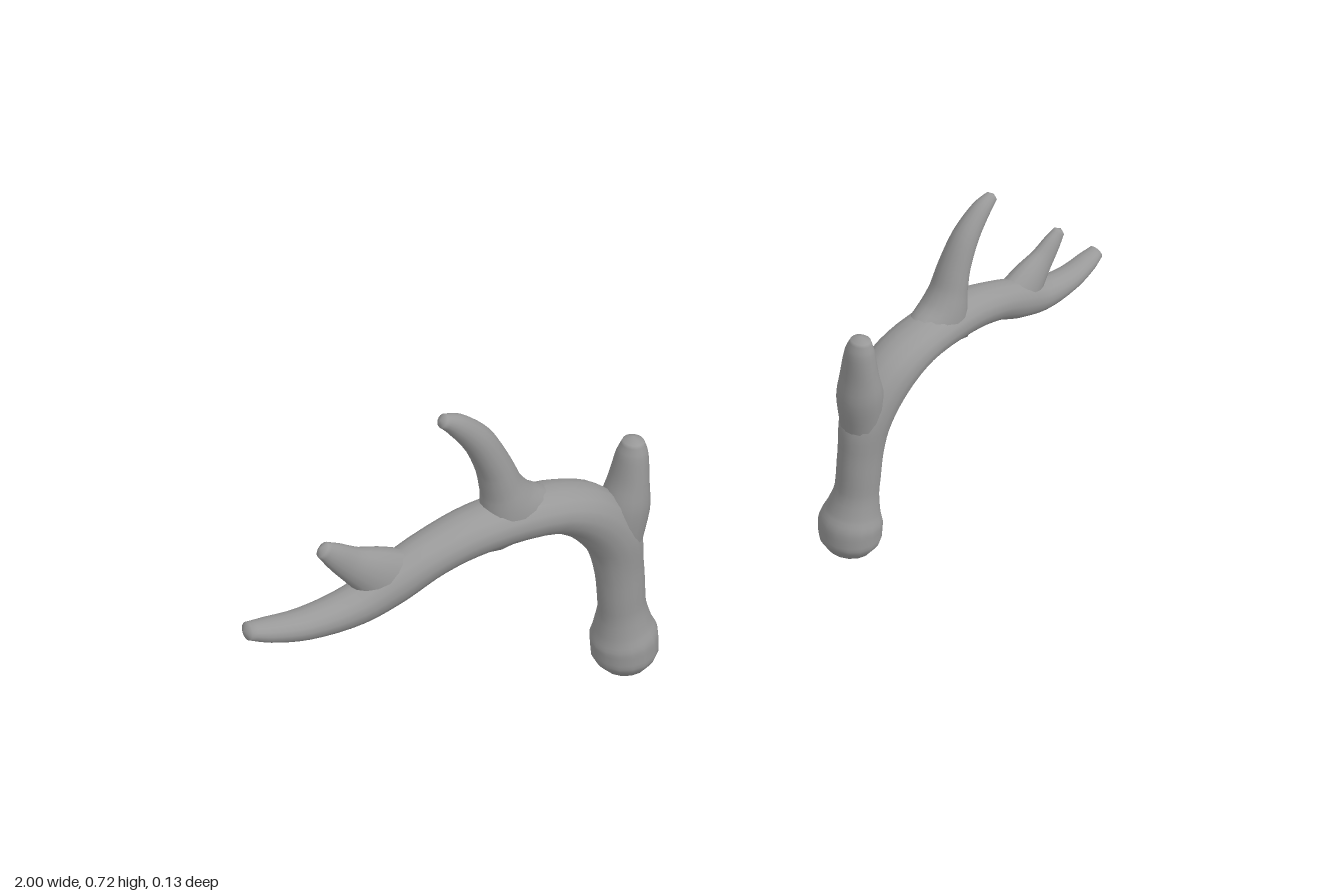
import * as THREE from 'three';

const material = new THREE.MeshStandardMaterial({ color: 0x999999 });
const SIDES = 16;

// Lofts an oval branch through keys [x, y, z, in-plane radius, depth radius].
// side is +1 for the left antler, -1 for its mirror image.
function branch(name, keys, side, stepsPerKey = 4) {
  const path = new THREE.CatmullRomCurve3(keys.map(k => new THREE.Vector3(side * k[0], k[1], k[2])));
  const radii = new THREE.CatmullRomCurve3(keys.map(k => new THREE.Vector3(k[3], k[4], 0)));
  const rings = (keys.length - 1) * stepsPerKey;
  const positions = [], index = [];

  for (let i = 0; i <= rings; i++) {
    const t = i / rings;
    const p = path.getPoint(t), r = radii.getPoint(t), d = path.getTangent(t);
    const len = Math.hypot(d.x, d.y);
    const nx = -d.y / len, ny = d.x / len;
    for (let j = 0; j < SIDES; j++) {
      const a = (j / SIDES) * Math.PI * 2;
      const u = Math.cos(a) * r.x, w = Math.sin(a) * r.y;
      positions.push(p.x + nx * u, p.y + ny * u, p.z + w);
    }
  }
  for (let i = 0; i < rings; i++) {
    for (let j = 0; j < SIDES; j++) {
      const k = (j + 1) % SIDES;
      const a = i * SIDES + j, b = i * SIDES + k;
      index.push(a, b, a + SIDES, b, b + SIDES, a + SIDES);
    }
  }
  // blunt pole at each end
  const start = path.getPoint(0), end = path.getPoint(1);
  end.addScaledVector(path.getTangent(1), keys[keys.length - 1][3] * 0.45);
  const poles = (rings + 1) * SIDES;
  positions.push(start.x, start.y, start.z, end.x, end.y, end.z);
  for (let j = 0; j < SIDES; j++) {
    const k = (j + 1) % SIDES, last = rings * SIDES;
    index.push(poles, k, j, poles + 1, last + j, last + k);
  }

  const geometry = new THREE.BufferGeometry();
  geometry.setAttribute('position', new THREE.Float32BufferAttribute(positions, 3));
  geometry.setIndex(index);
  geometry.computeVertexNormals();
  const mesh = new THREE.Mesh(geometry, material);
  mesh.name = name;
  return mesh;
}

// Bulbous base, upright stem and outward sweeping beam
const MAIN_BEAM = [
  [0.285, 0.0, 0.0, 0.02, 0.02],
  [0.285, 0.016, 0.0, 0.046, 0.048],
  [0.285, 0.045, 0.0, 0.064, 0.066],
  [0.285, 0.08, 0.0, 0.065, 0.067],
  [0.288, 0.115, 0.002, 0.055, 0.056],
  [0.292, 0.17, 0.008, 0.046, 0.044],
  [0.295, 0.25, 0.01, 0.047, 0.044],
  [0.307, 0.33, 0.01, 0.053, 0.051],
  [0.357, 0.405, 0.009, 0.053, 0.056],
  [0.43, 0.448, 0.006, 0.045, 0.056],
  [0.57, 0.463, -0.004, 0.042, 0.05],
  [0.66, 0.452, -0.009, 0.04, 0.045],
  [0.74, 0.428, -0.013, 0.042, 0.041],
  [0.81, 0.411, -0.016, 0.035, 0.037],
  [0.9, 0.413, -0.022, 0.026, 0.031],
  [0.96, 0.428, -0.028, 0.02, 0.025],
  [0.992, 0.44, -0.031, 0.014, 0.018],
];

// Each tine starts inside the beam and flares where it leaves it
const TINES = {
  browTine: [
    [0.297, 0.24, 0.01, 0.03, 0.03],
    [0.293, 0.31, 0.011, 0.04, 0.041],
    [0.282, 0.39, 0.016, 0.045, 0.048],
    [0.273, 0.45, 0.021, 0.034, 0.041],
    [0.267, 0.505, 0.026, 0.027, 0.031],
    [0.266, 0.53, 0.029, 0.018, 0.021],
  ],
  middleTine: [
    [0.495, 0.45, 0.001, 0.085, 0.046],
    [0.512, 0.497, 0.0, 0.052, 0.045],
    [0.522, 0.535, 0.0, 0.037, 0.039],
    [0.533, 0.58, 0.0, 0.031, 0.034],
    [0.558, 0.64, 0.001, 0.027, 0.027],
    [0.595, 0.687, 0.002, 0.02, 0.019],
    [0.621, 0.707, 0.003, 0.012, 0.012],
  ],
  outerTine: [
    [0.735, 0.425, -0.014, 0.062, 0.036],
    [0.767, 0.46, -0.015, 0.046, 0.031],
    [0.805, 0.495, -0.016, 0.03, 0.021],
    [0.831, 0.524, -0.016, 0.022, 0.016],
    [0.85, 0.545, -0.016, 0.014, 0.011],
  ],
};

export function createModel() {
  const model = new THREE.Group();
  model.name = 'antlers';
  for (const side of [1, -1]) {
    const antler = new THREE.Group();
    antler.name = side > 0 ? 'leftAntler' : 'rightAntler';
    antler.add(branch('mainBeam', MAIN_BEAM, side));
    for (const [name, keys] of Object.entries(TINES)) antler.add(branch(name, keys, side));
    model.add(antler);
  }
  return model;
}
